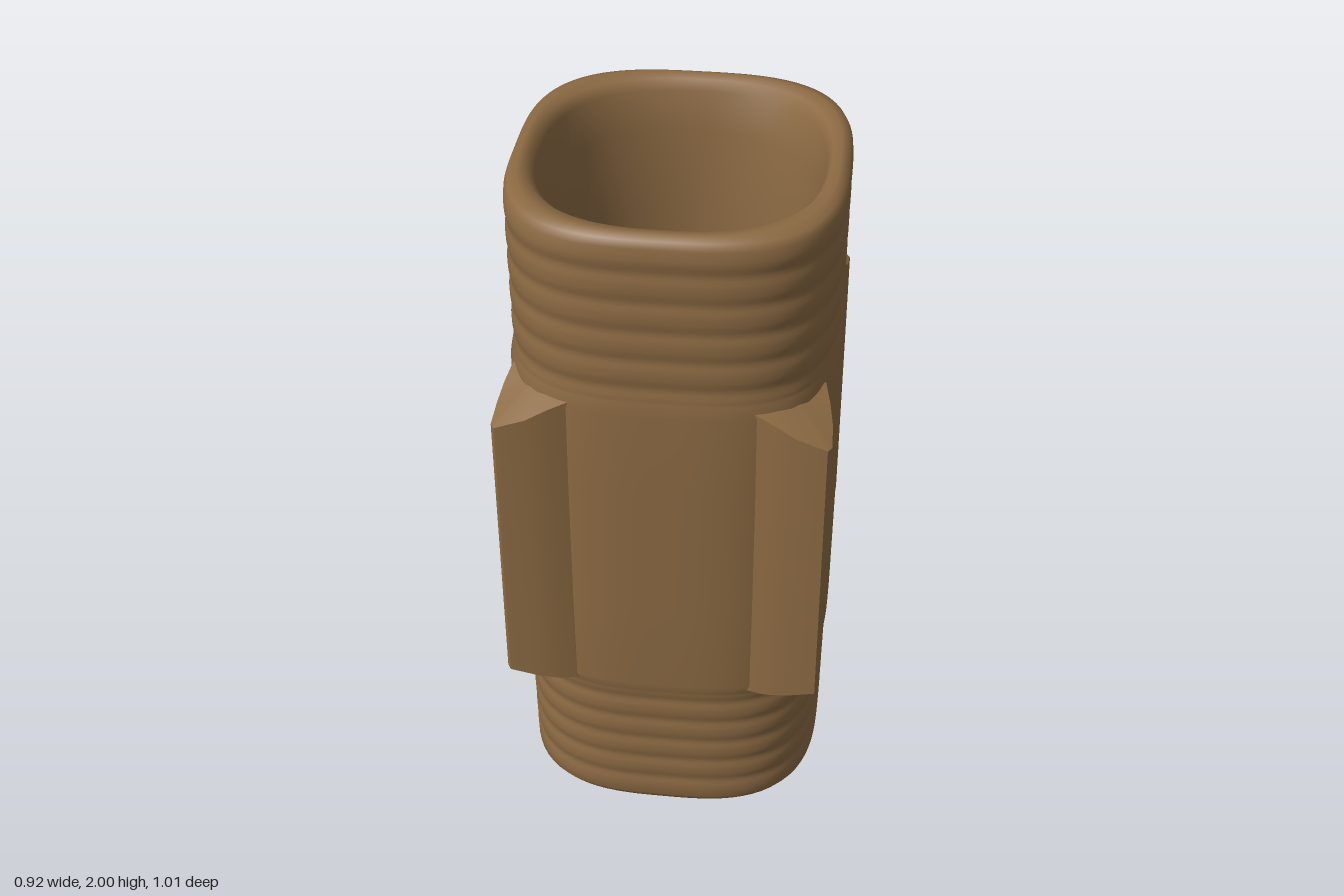
import * as THREE from 'three';
import { toCreasedNormals } from 'three/addons/utils/BufferGeometryUtils.js';

const SEG = 96;
const bronze = new THREE.MeshStandardMaterial({ color: 0x8c6a43 });
bronze.name = 'bronze';

function geometryFrom(positions, index) {
  const g = new THREE.BufferGeometry();
  g.setAttribute('position', new THREE.Float32BufferAttribute(positions, 3));
  g.setIndex(index);
  g.computeVertexNormals();
  return g;
}

// Closed wall: rings run up the outside, over the rim and down the bore.
// Each ring is [halfX, y, halfZ, squareness].
function createSleeve() {
  const rings = [[0.42, 0.004, 0.45, 2.8], [0.438, 0.01, 0.472, 3], [0.446, 0.03, 0.482, 3.1]];

  // Worn thread grooves on a neck between two heights
  const neck = (y0, y1, w0, w1) => {
    const steps = 40;
    for (let i = 0; i <= steps; i++) {
      const t = i / steps;
      const groove = 0.005 * Math.pow(Math.sin(t * Math.PI * 5), 4);
      const w = w0 + (w1 - w0) * t - groove;
      rings.push([w, y0 + (y1 - y0) * t, w + 0.035, 3.1]);
    }
  };
  neck(0.06, 0.47, 0.447, 0.452);
  rings.push([0.459, 0.5, 0.494, 3.2], [0.461, 0.8, 0.495, 3.2],
    [0.461, 1.2, 0.495, 3.2], [0.459, 1.46, 0.494, 3.2]);
  neck(1.5, 1.94, 0.452, 0.456);

  // Rounded upper rim, slightly flared bore and lower rim
  rings.push([0.454, 1.97, 0.488, 3.1], [0.446, 1.99, 0.48, 3], [0.425, 2, 0.455, 2.8],
    [0.402, 1.992, 0.425, 2.6], [0.387, 1.965, 0.405, 2.4], [0.376, 1.85, 0.388, 2.2],
    [0.365, 1.6, 0.375, 2], [0.362, 1, 0.372, 2], [0.365, 0.4, 0.375, 2],
    [0.374, 0.15, 0.385, 2.2], [0.384, 0.04, 0.4, 2.4], [0.4, 0.01, 0.422, 2.6]);

  const positions = [], index = [];
  rings.forEach(([rx, y, rz, n], r) => {
    const next = (r + 1) % rings.length;
    for (let i = 0; i < SEG; i++) {
      const a = (i / SEG) * Math.PI * 2, c = Math.cos(a), s = Math.sin(a);
      const k = Math.pow(Math.abs(c) ** n + Math.abs(s) ** n, -1 / n);
      positions.push(rx * c * k, y, rz * s * k);
      const j = (i + 1) % SEG;
      const p = r * SEG + i, q = r * SEG + j, u = next * SEG + i, v = next * SEG + j;
      index.push(p, u, q, q, u, v);
    }
  });
  return geometryFrom(positions, index);
}

// Corner rib outline: x, z, bottom y, top y. The first point is inside the wall.
const ribOutline = [
  [0.33, 0.36, 0.46, 1.5],
  [0.425, 0.30, 0.48, 1.48],
  [0.441, 0.355, 0.495, 1.45],
  [0.452, 0.41, 0.515, 1.42],
  [0.456, 0.485, 0.525, 1.4],
  [0.445, 0.503, 0.525, 1.4],
  [0.36, 0.5, 0.505, 1.43],
  [0.30, 0.487, 0.49, 1.46],
  [0.235, 0.462, 0.48, 1.48],
];

function createRib(sx, sz) {
  const n = ribOutline.length, positions = [], index = [];
  const tri = (a, b, c) => (sx * sz > 0 ? index.push(a, b, c) : index.push(a, c, b));
  for (const [x, z, y0, y1] of ribOutline) {
    positions.push(sx * x, y0, sz * z, sx * x, y1, sz * z);
  }
  for (let i = 0; i < n; i++) {
    const j = (i + 1) % n;
    tri(2 * i, 2 * i + 1, 2 * j);
    tri(2 * j, 2 * i + 1, 2 * j + 1);
    // Sloping end caps fan out from the hidden point
    if (i > 0 && j > 0) {
      tri(0, 2 * i, 2 * j);
      tri(1, 2 * j + 1, 2 * i + 1);
    }
  }
  return toCreasedNormals(geometryFrom(positions, index), 0.6);
}

export function createModel() {
  const model = new THREE.Group();
  model.name = 'threadedSleeve';
  const add = (name, geometry) => {
    const mesh = new THREE.Mesh(geometry, bronze);
    mesh.name = name;
    model.add(mesh);
  };
  add('sleeve', createSleeve());
  for (const sx of [1, -1]) {
    for (const sz of [1, -1]) {
      add((sz > 0 ? 'front' : 'back') + (sx > 0 ? 'Left' : 'Right') + 'Rib', createRib(sx, sz));
    }
  }
  return model;
}
